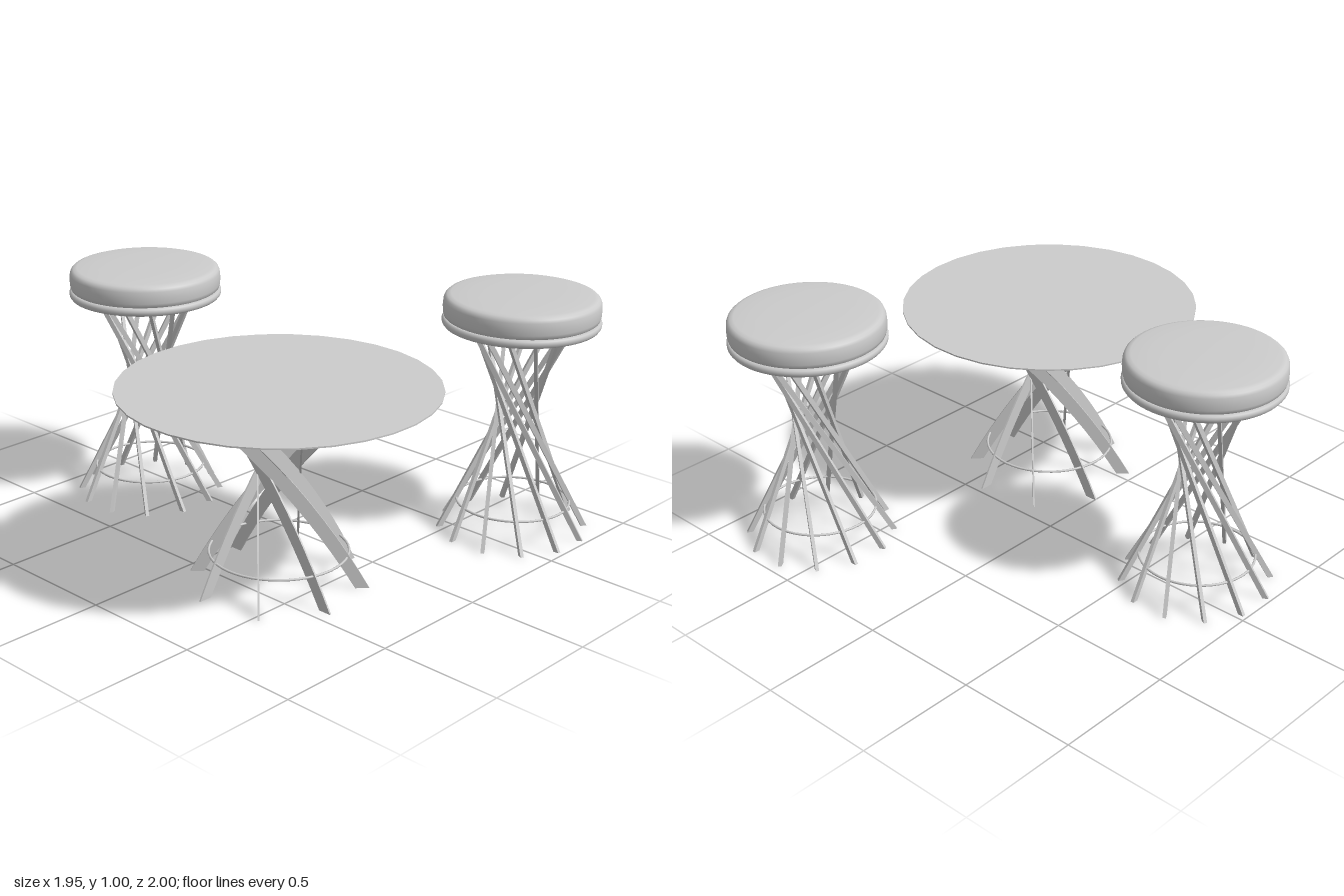
import * as THREE from 'three';

const grey = new THREE.MeshStandardMaterial({ color: 0xcccccc });
const thin = new THREE.MeshStandardMaterial({ color: 0xcccccc, side: THREE.DoubleSide });

function add(parent, name, geometry, material = grey) {
  const mesh = new THREE.Mesh(geometry, material);
  mesh.name = name;
  parent.add(mesh);
  return mesh;
}

// A leg is a slanted band in a vertical plane, cut level at floor and top.
// bow pushes the band sideways and up into a gentle arc.
function legGeometry({ foot, top, height, bow, thickness, offset }) {
  const control = ([a, b]) => [(a + b) / 2 + bow * 0.77, height / 2 + bow * 0.64];
  const shape = new THREE.Shape();
  shape.moveTo(foot[0], 0);
  shape.lineTo(foot[1], 0);
  shape.quadraticCurveTo(...control([foot[1], top[1]]), top[1], height);
  shape.lineTo(top[0], height);
  shape.quadraticCurveTo(...control([foot[0], top[0]]), foot[0], 0);
  const geometry = new THREE.ExtrudeGeometry(shape, {
    depth: thickness, bevelEnabled: false, curveSegments: bow ? 12 : 1,
  });
  return geometry.translate(0, 0, offset - thickness / 2);
}

// Repeats one leg around the vertical axis, all twisting the same way
function addLegs(parent, count, options) {
  const legs = new THREE.Group();
  legs.name = 'legs';
  const geometry = legGeometry(options);
  for (let i = 0; i < count; i++) {
    add(legs, 'leg', geometry).rotation.y = (i / count) * Math.PI * 2;
  }
  parent.add(legs);
}

function addRing(parent, radius, y) {
  const ring = add(parent, 'footRing', new THREE.TorusGeometry(radius, 0.005, 8, 48));
  ring.rotation.x = Math.PI / 2;
  ring.position.y = y;
}

function createStool() {
  const stool = new THREE.Group();
  stool.name = 'stool';
  addLegs(stool, 12, {
    foot: [0.275, 0.299], top: [-0.192, -0.17], height: 0.865,
    bow: 0, thickness: 0.014, offset: 0.078,
  });
  addRing(stool, 0.23, 0.12);

  // Mounting plate under the seat
  add(stool, 'seatPlate', new THREE.CylinderGeometry(0.22, 0.22, 0.016, 48)).position.y = 0.866;

  // Rounded lower rim
  const v = (p) => new THREE.Vector2(...p);
  const rim = [[0, 0.87], [0.298, 0.87], [0.308, 0.874], [0.314, 0.882], [0.315, 0.892],
    [0.312, 0.901], [0.304, 0.907], [0, 0.907]].map(v);
  add(stool, 'seatRim', new THREE.LatheGeometry(rim, 64));

  // Padded cushion with a softly domed top
  const cushion = [[0.298, 0.903], [0.307, 0.91], [0.311, 0.925], [0.312, 0.95], [0.31, 0.973],
    [0.305, 0.985], [0.296, 0.993], [0.28, 0.998], [0.2, 1.003], [0.1, 1.005], [0, 1.005]].map(v);
  add(stool, 'seatCushion', new THREE.LatheGeometry(cushion, 64));
  return stool;
}

function createTable() {
  const table = new THREE.Group();
  table.name = 'table';
  addLegs(table, 8, {
    foot: [0.29, 0.345], top: [-0.37, -0.285], height: 0.787,
    bow: 0.09, thickness: 0.007, offset: 0.08,
  });
  addRing(table, 0.27, 0.128);

  // Thin many-sided top with a flat side facing front
  const top = add(table, 'tableTop', new THREE.CylinderGeometry(0.615, 0.615, 0.006, 32), thin);
  top.position.y = 0.79;
  top.rotation.y = Math.PI / 32;
  return table;
}

export function createModel() {
  const model = new THREE.Group();
  model.name = 'tableWithStools';

  const table = createTable();
  table.position.set(-0.365, 0, 0.34);
  model.add(table);

  for (const [x, z] of [[-0.107, -0.685], [0.66, 0.68]]) {
    const stool = createStool();
    stool.position.set(x, 0, z);
    model.add(stool);
  }
  return model;
}
